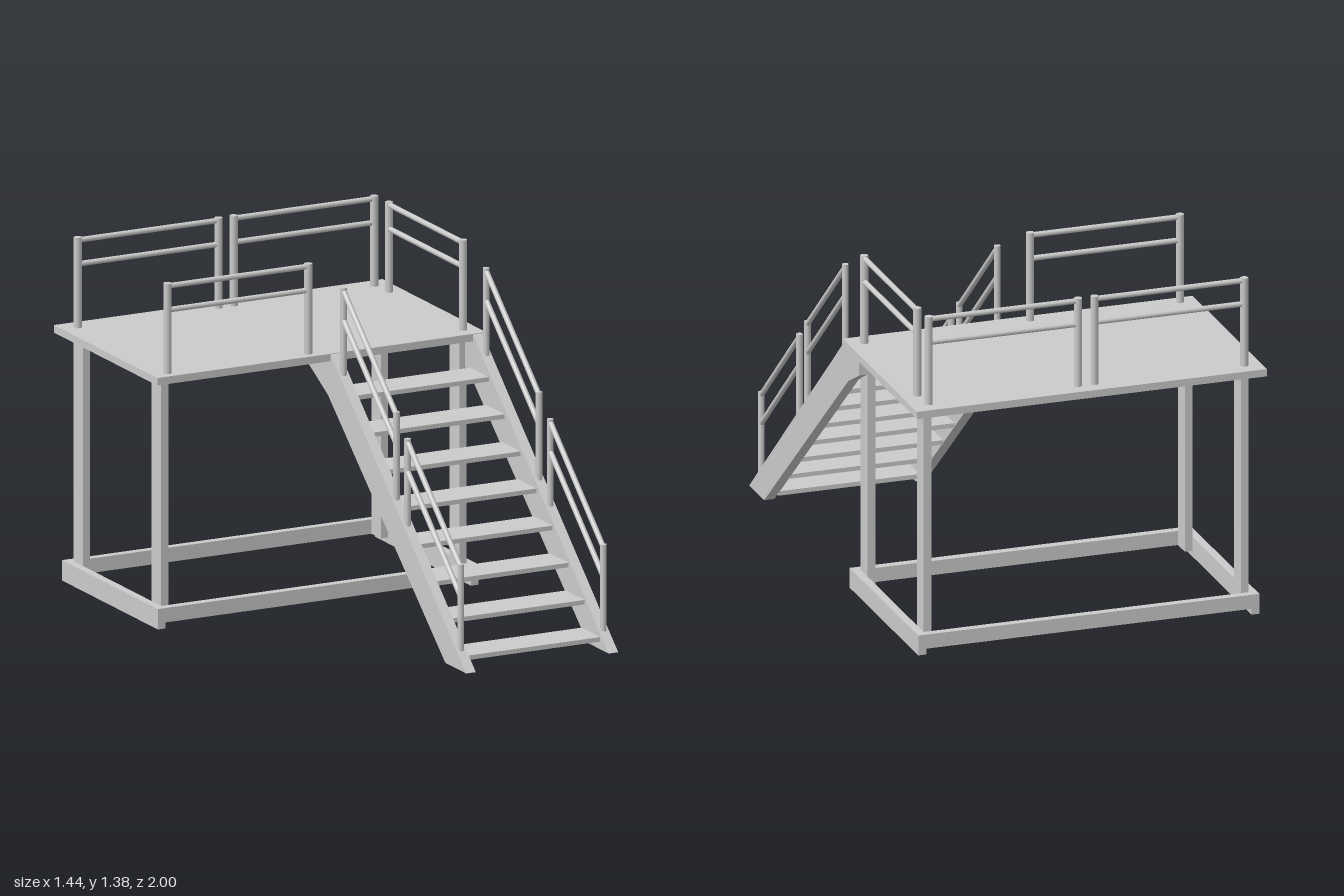
import * as THREE from 'three';

const material = new THREE.MeshStandardMaterial({ color: 0xcccccc });

// Box given by its min and max on each axis
function box(parent, name, [x0, x1], [y0, y1], [z0, z1]) {
  const mesh = new THREE.Mesh(new THREE.BoxGeometry(x1 - x0, y1 - y0, z1 - z0), material);
  mesh.position.set((x0 + x1) / 2, (y0 + y1) / 2, (z0 + z1) / 2);
  mesh.name = name;
  parent.add(mesh);
}

// Round bar between two points
function bar(parent, name, a, b, radius) {
  const dir = b.clone().sub(a);
  const mesh = new THREE.Mesh(new THREE.CylinderGeometry(radius, radius, dir.length(), 12), material);
  mesh.position.copy(a).add(b).multiplyScalar(0.5);
  mesh.quaternion.setFromUnitVectors(new THREE.Vector3(0, 1, 0), dir.normalize());
  mesh.name = name;
  parent.add(mesh);
}

// Two posts joined by a top rail and a middle rail; a and b are the post tops
function railing(parent, name, a, b, postLength, midDrop, radius) {
  const group = new THREE.Group();
  group.name = name;
  const down = (p, d) => new THREE.Vector3(p.x, p.y - d, p.z);
  for (const p of [a, b]) bar(group, 'post', down(p, postLength), p, radius);
  bar(group, 'topRail', down(a, 0.012), down(b, 0.012), 0.011);
  bar(group, 'middleRail', down(a, midDrop), down(b, midDrop), 0.011);
  parent.add(group);
}

// Sloping stair side cut from a z-y profile
function stringer(parent, name, profile, x, width) {
  const shape = new THREE.Shape(profile.map(([z, y]) => new THREE.Vector2(-z, y)));
  const mesh = new THREE.Mesh(new THREE.ExtrudeGeometry(shape, { depth: width, bevelEnabled: false }), material);
  mesh.rotation.y = Math.PI / 2;
  mesh.position.x = x;
  mesh.name = name;
  parent.add(mesh);
}

export function createModel() {
  const model = new THREE.Group();
  model.name = 'platformWithStairs';
  const v = (x, y, z) => new THREE.Vector3(x, y, z);

  // Deck
  box(model, 'deck', [-0.718, 0.718], [0.99, 1.02], [-1, -0.135]);

  // Base frame
  box(model, 'baseSideRight', [-0.7, -0.667], [0, 0.082], [-0.965, -0.165]);
  box(model, 'baseSideLeft', [0.667, 0.7], [0, 0.082], [-0.965, -0.165]);
  box(model, 'baseFront', [-0.667, 0.667], [0.024, 0.082], [-0.2, -0.165]);
  box(model, 'baseBack', [-0.667, 0.667], [0.024, 0.082], [-0.965, -0.933]);

  // Legs
  for (const x of [[-0.667, -0.635], [0.635, 0.667]])
    for (const z of [[-0.28, -0.2], [-0.933, -0.855]]) box(model, 'leg', x, [0.024, 0.99], z);

  // Stair sides: the inner one runs on under the deck, the outer one stops at the leg
  const lower = [[1, 0.015], [0.825, 0.015], [-0.155, 0.85]];
  const top = [[-0.134, 0.99], [-0.134, 1.018]];
  stringer(model, 'innerStringer', [...lower, [-0.42, 0.99], ...top], 0.038, 0.042);
  stringer(model, 'outerStringer', [...lower, [-0.28, 0.916], [-0.28, 0.99], ...top], 0.66, 0.042);

  // Treads
  for (let i = 0; i < 8; i++) {
    const y = 0.055 + i * 0.1165;
    const z = 0.93 - i * 0.133;
    box(model, 'tread', [0.078, 0.662], [y - 0.009, y + 0.009], [z - 0.155, z]);
  }

  // Stair railings
  for (const x of [0.06, 0.683]) {
    railing(model, 'lowerStairRailing', v(x, 0.43, 0.912), v(x, 0.825, 0.468), 0.355, 0.13, 0.013);
    railing(model, 'upperStairRailing', v(x, 0.91, 0.375), v(x, 1.3, -0.067), 0.355, 0.13, 0.013);
  }

  // Deck railings
  const deckRail = (name, x0, z0, x1, z1) =>
    railing(model, name, v(x0, 1.382, z0), v(x1, 1.382, z1), 0.365, 0.108, 0.016);
  deckRail('frontRailing', -0.65, -0.18, -0.035, -0.18);
  deckRail('backRailingRight', -0.65, -0.93, -0.035, -0.93);
  deckRail('backRailingLeft', 0.032, -0.93, 0.645, -0.93);
  deckRail('sideRailing', 0.655, -0.825, 0.655, -0.207);

  return model;
}
